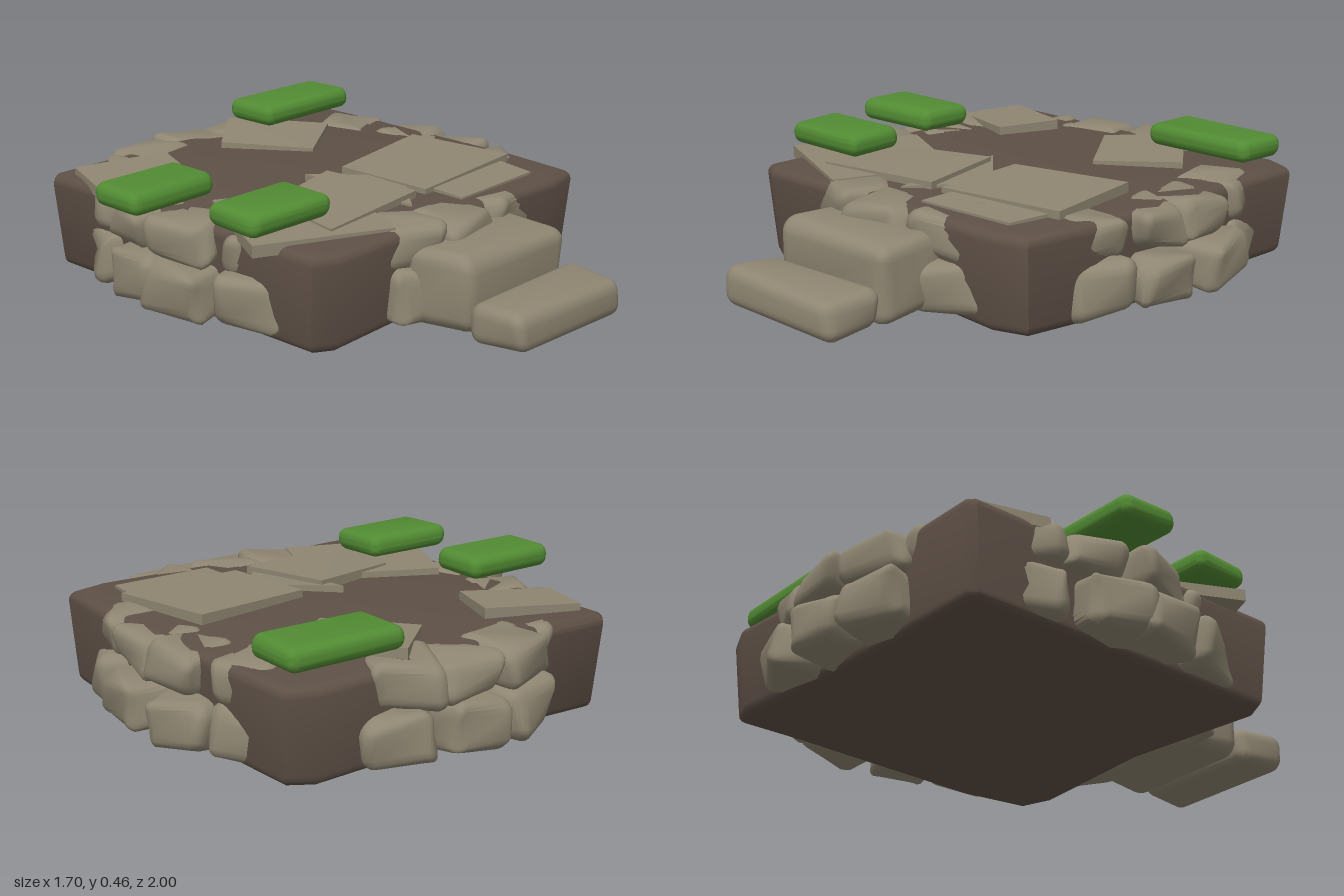
import * as THREE from 'three';
import { toCreasedNormals } from 'three/addons/utils/BufferGeometryUtils.js';
import { RoundedBoxGeometry } from 'three/addons/geometries/RoundedBoxGeometry.js';
import { ConvexGeometry } from 'three/addons/geometries/ConvexGeometry.js';

const flat = (name, color) => {
  const m = new THREE.MeshStandardMaterial({ color });
  m.name = name;
  return m;
};

// Repeatable value in -1..1
const jitter = (n) => {
  const s = Math.sin(n * 127.1 + 11.7) * 43758.5453;
  return (s - Math.floor(s)) * 2 - 1;
};

// Rounded block whose points are pushed about by a smooth wobble
function lump(w, h, d, radius, wobble, seed, segments = 3) {
  const geo = new RoundedBoxGeometry(w, h, d, segments, radius);
  const p = geo.attributes.position;
  for (let i = 0; i < p.count; i++) {
    const x = p.getX(i), y = p.getY(i), z = p.getZ(i);
    p.setXYZ(i,
      x + wobble * Math.sin(y * 23 + z * 17 + seed * 1.7),
      y + wobble * Math.sin(x * 19 + z * 21 + seed * 2.3),
      z + wobble * Math.sin(x * 22 + y * 18 + seed * 3.1));
  }
  return toCreasedNormals(geo, 0.75);
}

export function createModel() {
  const root = new THREE.Group();
  const earth = flat('earth brown', 0x5e5046);
  const stone = flat('stone grey', 0x8f8672);
  const moss = flat('moss green', 0x528c33);

  const add = (name, geo, mat, x = 0, y = 0, z = 0, turn = 0) => {
    const mesh = new THREE.Mesh(geo, mat);
    mesh.name = name;
    mesh.position.set(x, y, z);
    mesh.rotation.y = turn;
    root.add(mesh);
    return mesh;
  };

  // Earth base: chamfered square with soft edges, drawn in at the bottom
  const outline = [[-0.66, -0.83], [-0.63, -0.86], [0, -0.85], [0.6, -0.885], [0.705, -0.84],
    [0.71, -0.6], [0.7, 0.2], [0.67, 0.49], [0.52, 0.525], [0, 0.5], [-0.58, 0.51], [-0.66, 0.465]];
  const bevel = 0.035;
  const base = new THREE.ExtrudeGeometry(
    new THREE.Shape(outline.map(([x, z]) => new THREE.Vector2(x, z))),
    { depth: 0.335 - 2 * bevel, bevelThickness: bevel, bevelSize: bevel, bevelOffset: -bevel, bevelSegments: 4 });
  base.rotateX(Math.PI / 2);
  base.translate(0, 0.345 - bevel, 0);
  const bp = base.attributes.position;
  for (let i = 0; i < bp.count; i++) {
    const x = bp.getX(i), z = bp.getZ(i), y = bp.getY(i);
    if (y > 0.1) continue;
    bp.setXYZ(i, x * 0.975, y + 0.01 * Math.sin(x * 6 + z * 4), (z + 0.17) * 0.965 - 0.17);
  }
  add('earthBase', toCreasedNormals(base, 0.8), earth);

  // Two courses of rocks in a ring, breaking through the sides of the base
  const courses = [
    { y: 0.115, h: 0.175, reach: 0.805, shift: 0 },
    { y: 0.277, h: 0.145, reach: 0.775, shift: 2 }];
  courses.forEach(({ y, h, reach, shift }, row) => {
    for (let k = 0; k < 18; k++) {
      const seed = row * 40 + k;
      const a = THREE.MathUtils.degToRad(9 + 20 * k + shift + 2.5 * jitter(seed));
      if (Math.max(Math.abs(Math.cos(a)), Math.abs(Math.sin(a))) < 0.78) continue;
      const depth = 0.23;
      const r = reach - depth / 2 + 0.015 * jitter(seed + 7);
      add('rimRock', lump(depth, h + 0.012 * jitter(seed + 3), 0.245 + 0.02 * jitter(seed + 5), 0.045, 0.014, seed, 2),
        stone, 0.02 + r * Math.cos(a), y, -0.2 + r * Math.sin(a), -a + 0.12 * jitter(seed + 9));
    }
  });

  // Paving slabs: four corners [x, z, top height]
  const slabs = [
    [[-0.6, -0.78, 0.37], [-0.27, -0.66, 0.382], [-0.36, -0.43, 0.375], [-0.68, -0.55, 0.36]],
    [[-0.01, -0.64, 0.368], [0.22, -0.84, 0.382], [0.46, -0.53, 0.368], [0.19, -0.35, 0.358]],
    [[0.06, -0.08, 0.372], [0.53, -0.15, 0.382], [0.59, 0.26, 0.374], [0.08, 0.30, 0.364]],
    [[0.13, 0.2, 0.36], [0.56, 0.17, 0.36], [0.52, 0.42, 0.354], [0.12, 0.43, 0.352]],
    [[-0.4, 0.02, 0.374], [-0.04, -0.06, 0.384], [0.03, 0.30, 0.372], [-0.46, 0.36, 0.366]],
    [[-0.09, -0.12, 0.37], [0.1, 0.07, 0.364], [0.09, 0.2, 0.358], [-0.06, 0.36, 0.352]],
    [[-0.52, -0.14, 0.37], [-0.1, 0.07, 0.364], [-0.28, 0.48, 0.355], [-0.74, 0.28, 0.362]]];
  for (const corners of slabs) {
    const points = corners.flatMap(([x, z, top]) =>
      [new THREE.Vector3(x, top, z), new THREE.Vector3(x, top - 0.042, z)]);
    add('pavingSlab', new ConvexGeometry(points), stone);
  }

  // Two stone steps at the front
  add('upperStep', lump(0.53, 0.27, 0.29, 0.055, 0.007, 2), stone, 0.018, 0.157, 0.615);
  add('lowerStep', lump(0.55, 0.137, 0.228, 0.045, 0.006, 5), stone, 0.02, 0.094, 0.877);

  // Moss cushions: x, z, width, depth
  [[0.445, -0.725, 0.45, 0.23], [-0.665, -0.268, 0.37, 0.225], [-0.56, 0.18, 0.36, 0.23]]
    .forEach(([x, z, w, d], i) =>
      add('mossCushion', lump(w, 0.082, d, 0.036, 0.003, i + 1, 4), moss, x, 0.418, z));

  return root;
}
